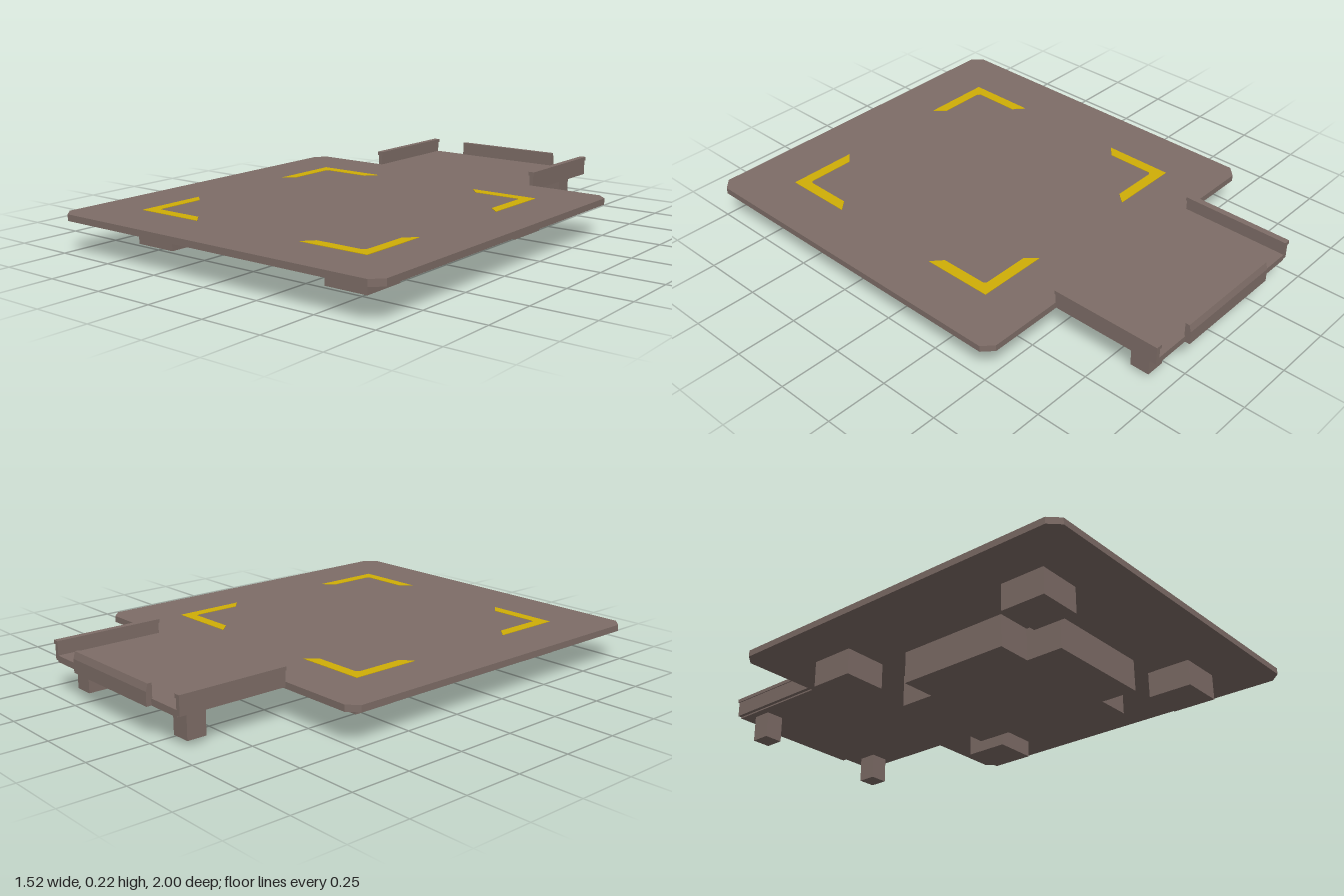
import * as THREE from 'three';

export function createModel() {
  const model = new THREE.Group();
  const metal = new THREE.MeshStandardMaterial({ color: 0x7e6d67 });
  metal.name = 'brown metal';
  const yellow = new THREE.MeshStandardMaterial({ color: 0xd0ae06 });
  yellow.name = 'yellow paint';

  function add(name, geometry, material = metal) {
    const mesh = new THREE.Mesh(geometry, material);
    mesh.name = name;
    model.add(mesh);
    return mesh;
  }
  function box(name, x0, x1, y0, y1, z0, z1) {
    add(name, new THREE.BoxGeometry(x1 - x0, y1 - y0, z1 - z0))
      .position.set((x0 + x1) / 2, (y0 + y1) / 2, (z0 + z1) / 2);
  }
  // Horizontal slab from an outline of [x, z] points
  function slab(name, points, y0, y1, material) {
    const shape = new THREE.Shape(points.map(([x, z]) => new THREE.Vector2(x, -z)));
    const g = new THREE.ExtrudeGeometry(shape, { depth: y1 - y0, bevelEnabled: false });
    g.rotateX(-Math.PI / 2);
    g.translate(0, y0, 0);
    return add(name, g, material);
  }
  // Right half of an outline, mirrored to close it
  const mirrored = (half) => [...half, ...half.map(([x, z]) => [-x, z]).reverse()];

  const bottom = 0.131, top = 0.157, padZ = 0.235;

  // Deck with clipped corners and a rear extension
  slab('deck', mirrored([
    [0.392, -0.98], [0.392, -0.527], [0.718, -0.527], [0.76, -0.487],
    [0.76, 0.957], [0.718, 1],
  ]), bottom, top);

  // Cross-shaped block under the deck
  slab('underBlock', mirrored([
    [0.24, -0.15], [0.24, 0], [0.39, 0], [0.39, 0.475], [0.24, 0.475], [0.24, 0.63],
  ]), 0, bottom);

  for (const s of [-1, 1]) {
    const span = (a, b) => (s > 0 ? [a, b] : [-b, -a]);
    // Main feet
    for (const t of [-1, 1]) {
      const z = padZ + t * 0.468;
      box('foot', ...span(0.373, 0.557), 0.025, bottom, z - 0.092, z + 0.092);
    }
    // Rear legs and side rails with wider caps
    box('rearLeg', ...span(0.28, 0.36), 0.021, bottom, -0.92, -0.84);
    box('sideRail', ...span(0.39, 0.408), 0.137, 0.2, -0.98, -0.527);
    box('sideRailCap', ...span(0.386, 0.412), 0.2, 0.215, -0.983, -0.525);
  }

  // Rear rail, leaning slightly forward
  const rail = new THREE.Shape([
    [0.975, bottom], [1, bottom], [1, 0.185], [0.992, 0.213], [0.975, 0.213],
  ].map(([x, y]) => new THREE.Vector2(x, y)));
  const railGeometry = new THREE.ExtrudeGeometry(rail, { depth: 0.48, bevelEnabled: false });
  railGeometry.translate(0, 0, -0.24);
  railGeometry.rotateY(Math.PI / 2);
  add('rearRail', railGeometry);

  // Painted corner brackets
  const bracket = [
    [0.25, 0.545], [0.545, 0.545], [0.545, 0.25], [0.5, 0.29],
    [0.5, 0.49], [0.49, 0.5], [0.29, 0.5],
  ];
  for (const sx of [-1, 1]) for (const sz of [-1, 1]) {
    slab('cornerMark', bracket.map(([x, z]) => [sx * x, padZ + sz * z]), top, top + 0.002, yellow);
  }
  return model;
}
